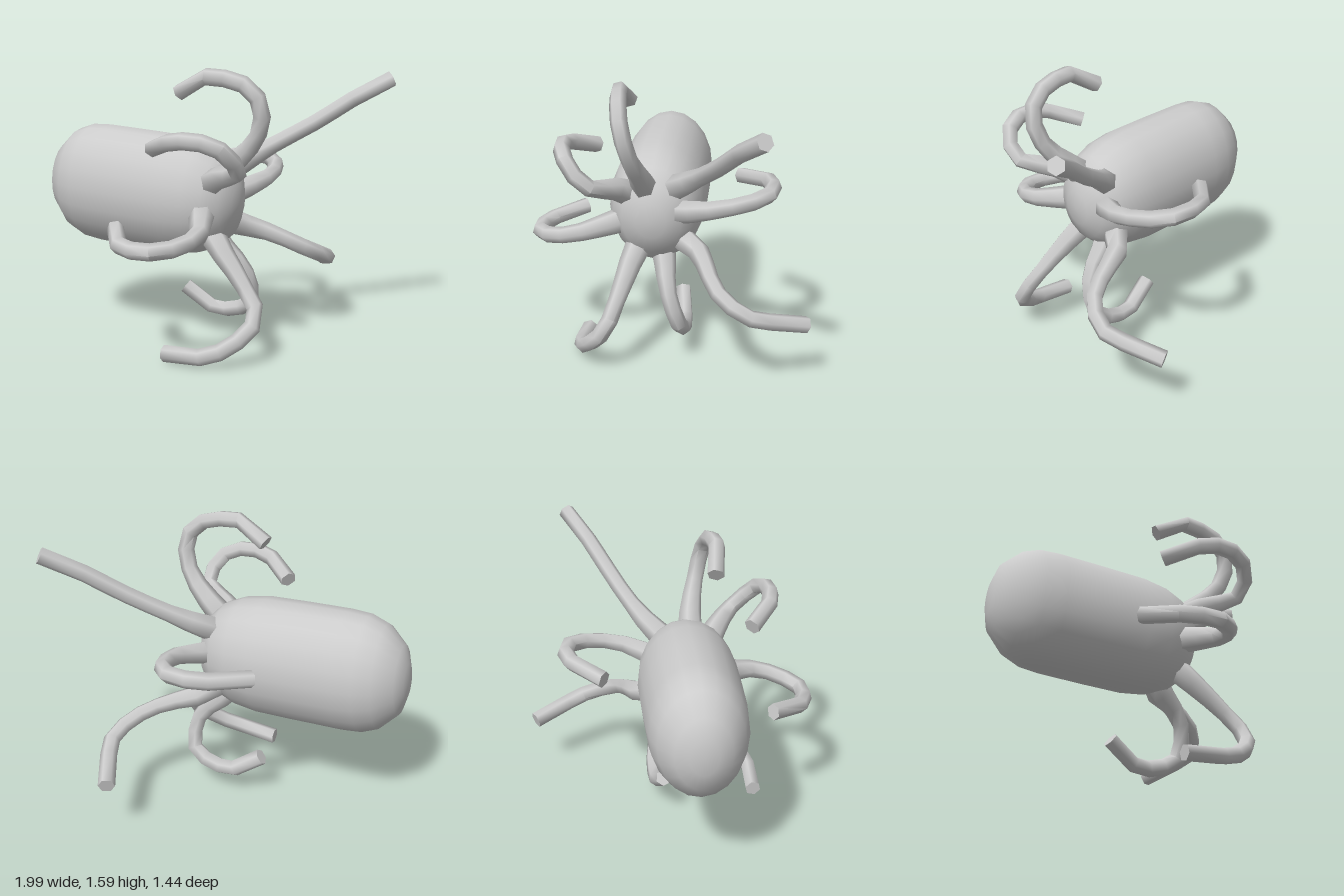
import * as THREE from 'three';
import { toCreasedNormals } from 'three/addons/utils/BufferGeometryUtils.js';

const SIDES = 6;

// Faceted arm along a curve: root buried in the body, slight flare, even shaft, flat closed tip.
function armGeometry(points) {
  const curve = new THREE.CatmullRomCurve3(points.map(p => new THREE.Vector3(...p)), false, 'centripetal');
  const n = points.length + 3;
  const geo = new THREE.TubeGeometry(curve, n, 1, SIDES, false);
  const pos = geo.attributes.position;
  const end = curve.getPointAt(1);
  const v = new THREE.Vector3();
  for (let i = 0; i <= n; i++) {
    const u = i / n;
    const centre = curve.getPointAt(u);
    let radius = 0.047 + 0.035 * Math.max(0, 1 - u / 0.35);
    if (i === 0) radius = 0.05;
    if (i === n) radius = 0;
    for (let j = 0; j <= SIDES; j++) {
      const k = i * (SIDES + 1) + j;
      v.fromBufferAttribute(pos, k).sub(centre).multiplyScalar(radius);
      v.add(i >= n - 1 ? end : centre); // last two rings form the flat tip
      pos.setXYZ(k, v.x, v.y, v.z);
    }
  }
  geo.deleteAttribute('uv');
  return toCreasedNormals(geo, 1.15);
}

// Each arm runs from inside the front of the body to its tip.
const ARMS = {
  upperFrontArm: [[0.02, 0.95, 0.09], [0.18, 1.1, 0.15], [0.29, 1.23, 0.22], [0.315, 1.4, 0.27],
    [0.23, 1.505, 0.27], [0.04, 1.545, 0.24], [-0.08, 1.525, 0.21], [-0.15, 1.45, 0.16]],
  frontCurlArm: [[-0.03, 0.92, 0.13], [0.11, 1.02, 0.29], [0.22, 1.06, 0.42], [0.2, 1.15, 0.52],
    [0.12, 1.22, 0.555], [-0.02, 1.245, 0.55], [-0.17, 1.215, 0.465], [-0.26, 1.165, 0.33]],
  frontMiddleArm: [[-0.03, 0.81, 0.14], [0.0, 0.77, 0.32], [0.02, 0.735, 0.5], [-0.07, 0.7, 0.63],
    [-0.22, 0.685, 0.68], [-0.38, 0.69, 0.59], [-0.46, 0.73, 0.38]],
  lowerFrontArm: [[-0.02, 0.72, 0.09], [0.09, 0.58, 0.19], [0.22, 0.43, 0.28], [0.315, 0.27, 0.37],
    [0.18, 0.12, 0.46], [0.02, 0.06, 0.475], [-0.11, 0.045, 0.46], [-0.19, 0.045, 0.41]],
  lowerMiddleArm: [[-0.05, 0.7, 0.0], [0.06, 0.56, -0.005], [0.18, 0.44, 0.0], [0.22, 0.34, -0.02],
    [0.21, 0.21, -0.07], [0.01, 0.145, -0.135], [-0.09, 0.19, -0.15], [-0.19, 0.265, -0.16]],
  lowerBackArm: [[0.02, 0.72, -0.04], [0.16, 0.65, -0.17], [0.31, 0.605, -0.195], [0.48, 0.53, -0.22],
    [0.62, 0.44, -0.35], [0.61, 0.39, -0.52], [0.57, 0.345, -0.7]],
  backMiddleArm: [[0.02, 0.84, 0.02], [0.18, 0.885, -0.12], [0.28, 0.925, -0.25], [0.3, 0.965, -0.45],
    [0.21, 0.99, -0.585], [-0.03, 0.99, -0.595], [-0.18, 0.965, -0.49]],
  longStraightArm: [[0.03, 0.96, 0.0], [0.2, 1.06, -0.1], [0.36, 1.15, -0.16], [0.56, 1.26, -0.21],
    [0.78, 1.4, -0.27], [0.97, 1.5, -0.33]],
};

export function createModel() {
  const model = new THREE.Group();
  const material = new THREE.MeshStandardMaterial({ color: 0xcccccc });
  const add = (name, geometry) => {
    const mesh = new THREE.Mesh(geometry, material);
    mesh.name = name;
    model.add(mesh);
  };

  // Body: a blunt capsule, taller than wide, turned slightly towards the front.
  const profile = [[0, -0.61], [0.1, -0.602], [0.2, -0.57], [0.3, -0.47], [0.338, -0.375], [0.347, -0.26],
    [0.346, 0], [0.342, 0.22], [0.32, 0.36], [0.275, 0.47], [0.2, 0.55], [0.1, 0.59], [0, 0.6]];
  const body = new THREE.LatheGeometry(profile.map(([r, y]) => new THREE.Vector2(r, y)), 20);
  body.rotateZ(-Math.PI / 2);
  // Narrower from side to side towards the rear.
  const pos = body.attributes.position;
  for (let i = 0; i < pos.count; i++) pos.setZ(i, pos.getZ(i) * (0.79 + 0.1 * pos.getX(i)));
  body.computeVertexNormals();
  body.rotateZ(-0.05).rotateY(-0.29).translate(-0.4, 0.862, -0.075);
  body.deleteAttribute('uv');
  add('body', toCreasedNormals(body, 1.2));

  for (const [name, points] of Object.entries(ARMS)) add(name, armGeometry(points));

  // Seat the model on the ground and centre it.
  const box = new THREE.Box3().setFromObject(model, true);
  const centre = box.getCenter(new THREE.Vector3());
  model.children.forEach(m => m.geometry.translate(-centre.x, -box.min.y, -centre.z));
  return model;
}
